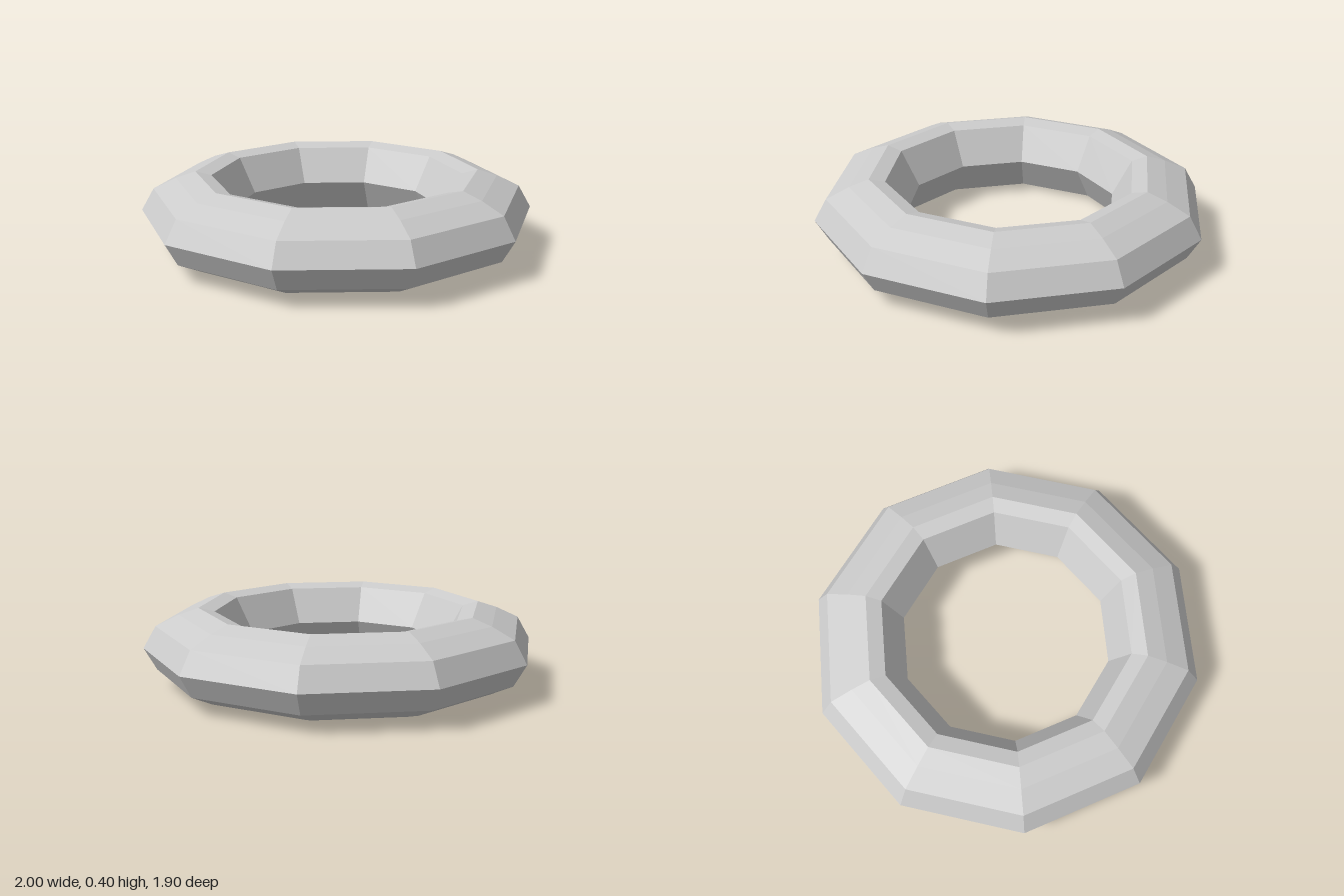
import * as THREE from 'three';

export function createModel() {
  const group = new THREE.Group();
  group.name = 'ringModel';

  // Upper half of the cross-section, outer edge to inner edge: [radius, height above the middle]
  const upper = [[1, 0], [0.936, 0.112], [0.82, 0.167], [0.72, 0.2], [0.64, 0.18], [0.54, 0]];
  const middle = 0.2;

  // Mirror it below and close the loop, starting at the inner edge
  const lower = upper.slice(1).reverse().map(([r, h]) => [r, -h]);
  const profile = [...lower, ...upper].map(([r, h]) => new THREE.Vector2(r, middle + h));

  // Ten-sided ring with corners on the x axis
  const ring = new THREE.Mesh(
    new THREE.LatheGeometry(profile, 10, Math.PI / 2),
    new THREE.MeshStandardMaterial({ color: 0xcccccc, flatShading: true })
  );
  ring.name = 'ring';
  group.add(ring);

  return group;
}
